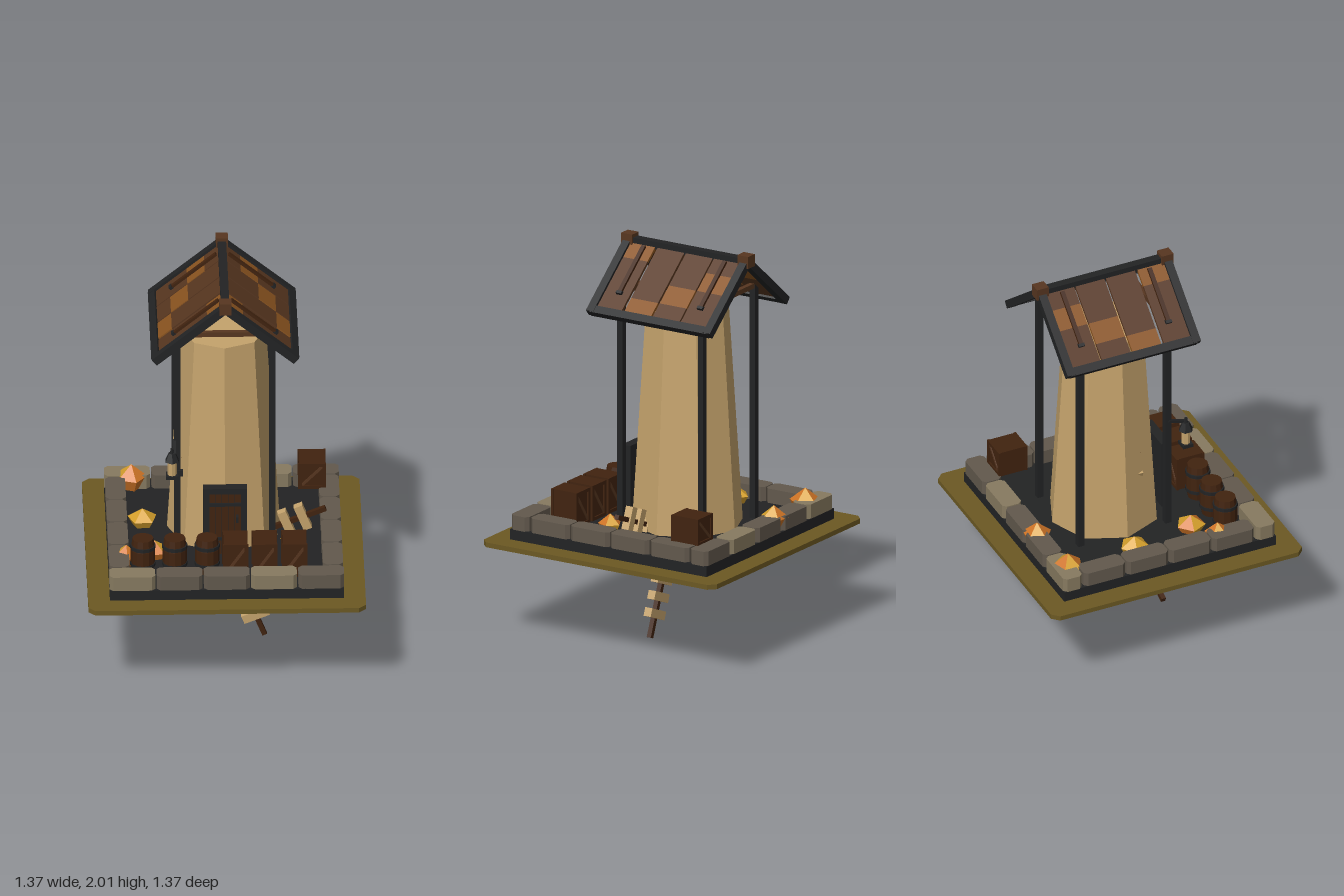
import * as THREE from 'three';

const mat = (name, color, flatShading = true) => {
  const m = new THREE.MeshStandardMaterial({ color, flatShading });
  m.name = name;
  return m;
};

export function createModel() {
  const M = {
    ground: mat('olive ground', 0x6c5923),
    iron: mat('charcoal', 0x222324),
    stone: mat('grey stone', 0x62594d),
    paleStone: mat('pale stone', 0x877a60),
    tan: mat('tan', 0xc5a36c),
    dark: mat('dark wood', 0x41230f),
    brown: mat('brown wood', 0x573620),
    orangeWood: mat('orange wood', 0x8a5420),
    gold: mat('gold', 0xd6a02c),
    amber: mat('amber', 0xcf7426),
  };
  const model = new THREE.Group();
  model.name = 'wheelTower';

  const add = (parent, name, geo, m, x = 0, y = 0, z = 0) => {
    const mesh = new THREE.Mesh(geo, m);
    mesh.name = name;
    mesh.position.set(x, y, z);
    parent.add(mesh);
    return mesh;
  };
  const box = (parent, name, m, w, h, d, x, y, z) =>
    add(parent, name, new THREE.BoxGeometry(w, h, d), m, x, y, z);
  const cyl = (parent, name, m, rt, rb, h, n, x, y, z) =>
    add(parent, name, new THREE.CylinderGeometry(rt, rb, h, n), m, x, y, z);
  const group = (parent, name, x = 0, y = 0, z = 0) => {
    const g = new THREE.Group();
    g.name = name;
    g.position.set(x, y, z);
    parent.add(g);
    return g;
  };
  // Slab with cut corners, standing on y
  const slab = (parent, name, m, w, d, h, c, x, y, z) => {
    const a = w / 2, b = d / 2;
    const s = new THREE.Shape([[a - c, -b], [a, c - b], [a, b - c], [a - c, b], [c - a, b], [-a, b - c], [-a, c - b], [c - a, -b]]
      .map(p => new THREE.Vector2(...p)));
    const g = new THREE.ExtrudeGeometry(s, { depth: h, bevelEnabled: false }).rotateX(-Math.PI / 2);
    return add(parent, name, g, m, x, y, z);
  };

  // Ground, floor and stone border
  slab(model, 'ground', M.ground, 1.37, 1.37, 0.025, 0.035, 0, 0.483, 0);
  box(model, 'floor', M.iron, 1.155, 0.054, 1.155, 0, 0.535, 0);
  const border = group(model, 'stoneBorder');
  for (const s of [-1, 1]) {
    for (let i = 0; i < 5; i++)
      slab(border, 'borderStone', i % 3 ? M.stone : M.paleStone, 0.226, 0.103, 0.075, 0.018, (i - 2) * 0.233, 0.561, s * 0.526);
    for (let i = 0; i < 4; i++)
      slab(border, 'borderStone', M.stone, 0.1, 0.227, 0.075, 0.018, s * 0.527, 0.561, (i - 1.5) * 0.234);
  }
  border.children.filter(c => c.material === M.paleStone && c.position.x > 0.3).forEach(c => { c.material = M.stone; });

  // Tower
  cyl(model, 'tower', M.tan, 0.21, 0.28, 1.11, 8, 0, 1.112, -0.09);

  // Door with planks and bars
  const door = group(model, 'door', 0, 0.56, 0.2);
  for (const s of [-1, 1]) box(door, 'doorJamb', M.iron, 0.03, 0.375, 0.05, s * 0.093, 0.187, 0);
  box(door, 'doorLintel', M.iron, 0.216, 0.03, 0.05, 0, 0.36, 0);
  for (let i = 0; i < 5; i++)
    box(door, 'doorPlank', M.dark, 0.029, 0.345, 0.03, (i - 2) * 0.032, 0.172, -0.006);
  box(door, 'doorBacking', M.iron, 0.16, 0.345, 0.02, 0, 0.172, -0.014);
  for (const y of [0.09, 0.28]) box(door, 'doorBand', M.iron, 0.16, 0.018, 0.008, 0, y, 0.012);
  box(door, 'doorHandle', M.iron, 0.012, 0.03, 0.03, 0.06, 0.21, 0.03);

  // Posts and tie beams
  for (const z of [0.145, -0.33]) {
    for (const s of [-1, 1]) box(model, 'post', M.iron, 0.032, 1.22, 0.032, s * 0.235, 1.165, z);
    box(model, 'tieBeam', M.brown, 0.44, 0.025, 0.025, 0, 1.765, z);
  }

  // Gabled roof: each slope is built along its own x axis
  const roof = group(model, 'roof', 0, 1.963, -0.093);
  const pitch = 0.69, k = 1 / Math.cos(pitch);
  const rows = [[-0.246, 1], [-0.081, 2], [0.086, 3], [0.258, 0]];
  const cuts = [0, 0.085, 0.17, 0.255, 0.328].map(v => v * k);
  for (const s of [-1, 1]) {
    const slope = group(roof, 'roofSlope');
    slope.rotation.z = -s * pitch;
    for (const z of [-0.343, 0.343]) box(slope, 'rafter', M.iron, 0.46, 0.04, 0.042, s * 0.225, 0, z);
    box(slope, 'eaveRail', M.iron, 0.042, 0.036, 0.69, s * 0.438, 0, 0);
    rows.forEach(([z, hot]) => {
      for (let i = 0; i < 4; i++)
        box(slope, 'roofPanel', i === hot ? M.orangeWood : M.brown, cuts[i + 1] - cuts[i], 0.014, 0.157,
          s * (cuts[i] + cuts[i + 1]) / 2, 0, z);
    });
    for (const z of [-0.238, 0.238]) {
      box(slope, 'roofBatten', M.dark, 0.29, 0.016, 0.022, s * 0.175, 0.012, z);
      box(slope, 'battenEnd', M.iron, 0.016, 0.02, 0.032, s * 0.318, 0.012, z);
    }
  }
  box(roof, 'ridgeRail', M.iron, 0.042, 0.04, 0.7, 0, 0, 0);
  for (const z of [-0.342, 0.34]) box(roof, 'ridgeCap', M.brown, 0.06, 0.062, 0.064, 0, 0.006, z);

  // Wheel with four planked arms
  const wheel = group(model, 'wheel', 0, 0.5, 0);
  cyl(wheel, 'wheelDisc', M.dark, 0.205, 0.205, 0.028, 20, 0, 0, 0).rotation.x = Math.PI / 2;
  cyl(wheel, 'wheelHub', M.dark, 0.04, 0.04, 0.07, 10, 0, 0, 0.015).rotation.x = Math.PI / 2;
  for (let i = 0; i < 16; i++) {
    const spoke = group(wheel, 'wheelSpoke');
    spoke.rotation.z = i * Math.PI / 8;
    box(spoke, 'spokeBar', M.brown, 0.2, 0.007, 0.034, 0.1, 0, 0);
  }
  for (let i = 0; i < 4; i++) {
    const arm = group(wheel, 'wheelArm');
    arm.rotation.z = 0.38 + i * Math.PI / 2;
    box(arm, 'armBeam', M.dark, 0.54, 0.024, 0.024, 0.27, 0, 0);
    for (const r of [0.245, 0.332, 0.419]) box(arm, 'armPlank', M.tan, 0.044, 0.135, 0.042, r, 0, 0);
  }

  // Barrels
  const stave = new THREE.LatheGeometry([[0, 0], [0.05, 0], [0.06, 0.06], [0.06, 0.13], [0.052, 0.19], [0, 0.19]]
    .map(p => new THREE.Vector2(...p)), 12);
  for (const x of [-0.41, -0.253, -0.093]) {
    const barrel = group(model, 'barrel', x, 0.561, 0.38);
    add(barrel, 'barrelBody', stave, M.dark);
    for (const y of [0.05, 0.145]) cyl(barrel, 'barrelHoop', M.iron, 0.063, 0.063, 0.018, 12, 0, y, 0);
  }

  // Crates with framed, braced sides
  const crate = (x, y, z, w, h, d) => {
    const g = group(model, 'crate', x, y + h / 2, z);
    box(g, 'crateBody', M.dark, w - 0.008, h, d - 0.008, 0, 0, 0);
    for (const s of [-1, 1]) {
      const face = group(g, 'crateFace', 0, 0, s * (d / 2 - 0.003));
      for (const t of [-1, 1]) {
        box(face, 'crateRail', M.dark, w, 0.018, 0.012, 0, t * (h / 2 - 0.009), 0);
        box(face, 'crateStile', M.dark, 0.018, h, 0.012, t * (w / 2 - 0.009), 0, 0);
      }
      const brace = box(face, 'crateBrace', M.brown, Math.hypot(w, h) - 0.05, 0.014, 0.006, 0, 0, 0);
      brace.rotation.z = Math.atan2(h, w);
    }
  };
  for (const x of [0.046, 0.191, 0.337]) crate(x, 0.561, 0.378, 0.125, 0.183, 0.145);
  crate(0.443, 0.63, -0.405, 0.138, 0.14, 0.15);

  // Gem clusters with mixed faces
  const gem = (x, y, z, r, h, turn, mats) => {
    const geo = new THREE.LatheGeometry([[0, 0], [r * 0.6, 0], [r, h * 0.5], [0, h]].map(p => new THREE.Vector2(...p)), 5).toNonIndexed();
    const n = geo.attributes.position.count / 5;
    for (let i = 0; i < 5; i++) geo.addGroup(i * n, n, i % 2);
    add(model, 'gem', geo, mats, x, y, z).rotation.y = turn;
  };
  const mixed = [M.gold, M.amber], warm = [M.amber, M.gold], pure = [M.gold, M.gold];
  gem(-0.445, 0.56, -0.495, 0.08, 0.13, 0.3, warm);
  gem(-0.13, 0.56, -0.515, 0.075, 0.125, 1.2, mixed);
  gem(-0.4, 0.55, -0.11, 0.075, 0.1, 0.7, pure);
  gem(-0.35, 0.55, 0.22, 0.075, 0.1, 2, mixed);
  gem(-0.49, 0.56, 0.3, 0.065, 0.11, 0.1, warm);
  gem(0.33, 0.55, 0.15, 0.06, 0.1, 0.5, warm);

  // Lantern hung from a bracket on the front post
  const lantern = group(model, 'lantern', -0.262, 1.01, 0.235);
  box(lantern, 'lanternBase', M.iron, 0.06, 0.018, 0.055, 0, 0.009, 0);
  cyl(lantern, 'lanternGlass', M.tan, 0.023, 0.023, 0.08, 8, 0, 0.056, 0);
  cyl(lantern, 'lanternRoof', M.iron, 0.018, 0.038, 0.045, 6, 0, 0.115, 0);
  cyl(lantern, 'lanternTip', M.iron, 0.008, 0.012, 0.03, 6, 0, 0.148, 0);
  const arm = box(lantern, 'lanternArm', M.iron, 0.016, 0.014, 0.1, 0.012, 0.148, -0.04);
  arm.rotation.x = 0.3;
  box(lantern, 'lanternBracket', M.iron, 0.03, 0.03, 0.02, 0.04, -0.015, -0.075);

  return model;
}
